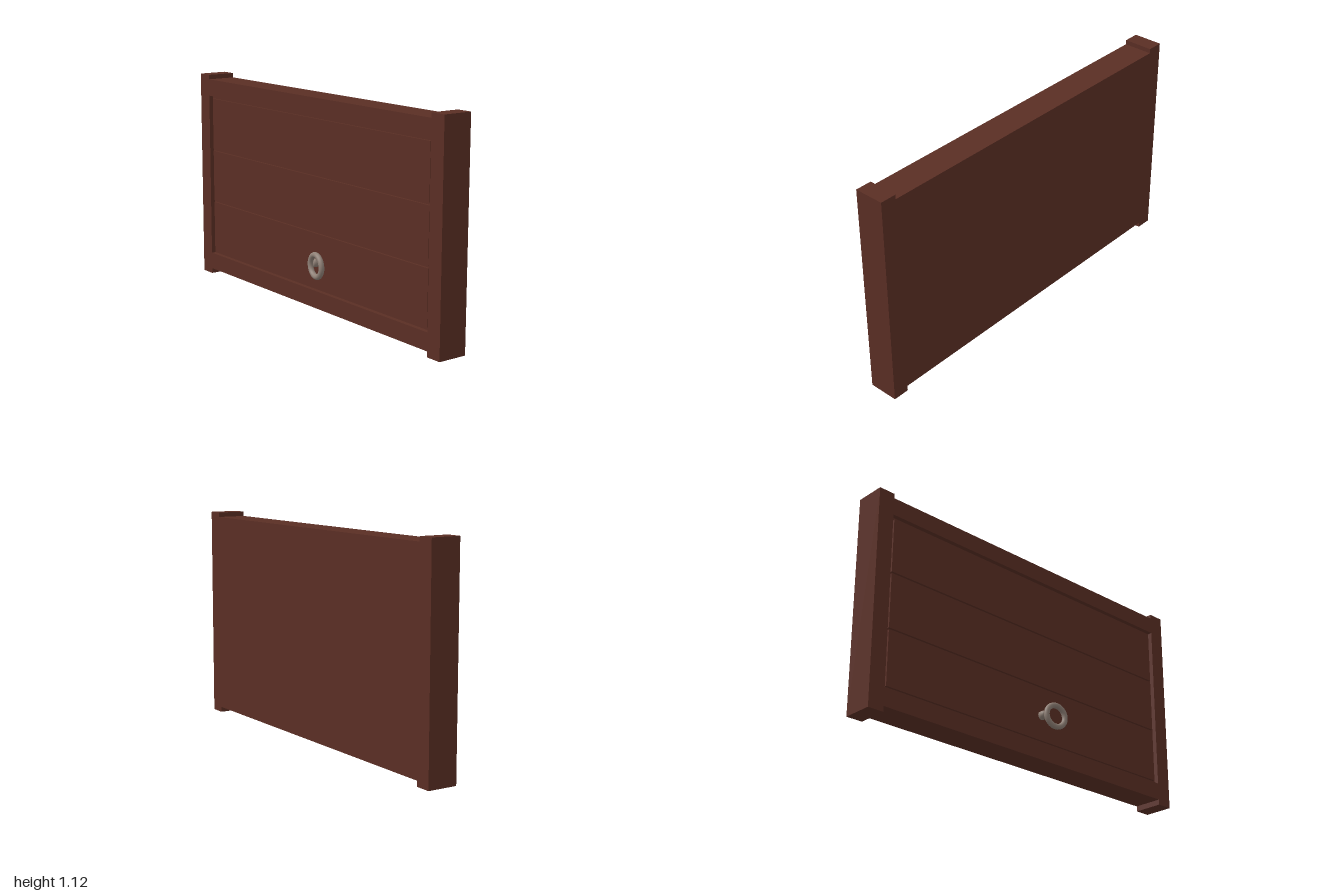
import * as THREE from 'three';

export function createModel() {
  const group = new THREE.Group();
  const wood = new THREE.MeshStandardMaterial({ color: 0x5a2e24 });
  wood.name = 'dark red wood';
  const metal = new THREE.MeshStandardMaterial({ color: 0x8f8076 });
  metal.name = 'dull metal';

  // Box given by its lower and upper corners
  function box(name, [x0, y0, z0], [x1, y1, z1]) {
    const mesh = new THREE.Mesh(new THREE.BoxGeometry(x1 - x0, y1 - y0, z1 - z0), wood);
    mesh.position.set((x0 + x1) / 2, (y0 + y1) / 2, (z0 + z1) / 2);
    mesh.name = name;
    group.add(mesh);
  }

  const face = -0.051, back = 0.105;   // outer faces of the frame
  const inner = 0.915;                 // inner side of the posts
  const low = 0.118, high = 1.007;     // recess between the rails

  // End posts, slightly taller than the rails
  box('leftPost', [face, 0, inner], [back, 1.121, 1]);
  box('rightPost', [face, 0, -1], [back, 1.121, -inner]);

  // Rails and backing panel
  box('bottomRail', [face, 0.028, -inner], [back, low, inner]);
  box('topRail', [face, high, -inner], [back, 1.097, inner]);
  box('backPanel', [face + 0.024, low, -inner], [back, high, inner]);

  // Three planks in the recess, parted by grooves
  const margin = 0.016, groove = 0.012, count = 3;
  const pitch = (high - low - 2 * margin + groove) / count;
  for (let i = 0; i < count; i++) {
    const y = low + margin + i * pitch;
    box('plank' + (i + 1), [face + 0.012, y, -inner + margin],
      [face + 0.03, y + pitch - groove, inner - margin]);
  }

  // Ring pull hanging sideways from a short peg
  const profile = [[0, 0], [0.022, 0], [0.022, 0.02], [0.02, 0.03], [0.014, 0.036], [0, 0.038]]
    .map(([r, h]) => new THREE.Vector2(r, h));
  const peg = new THREE.Mesh(new THREE.LatheGeometry(profile, 20), metal);
  peg.name = 'handlePeg';
  peg.rotation.z = Math.PI / 2;
  peg.position.set(face + 0.013, 0.265, 0.064);
  group.add(peg);

  const ring = new THREE.Mesh(new THREE.TorusGeometry(0.056, 0.0145, 14, 36), metal);
  ring.name = 'handleRing';
  ring.rotation.y = Math.PI / 2 - 0.13;
  ring.position.set(-0.087, 0.265, 0.117);
  group.add(ring);

  return group;
}
